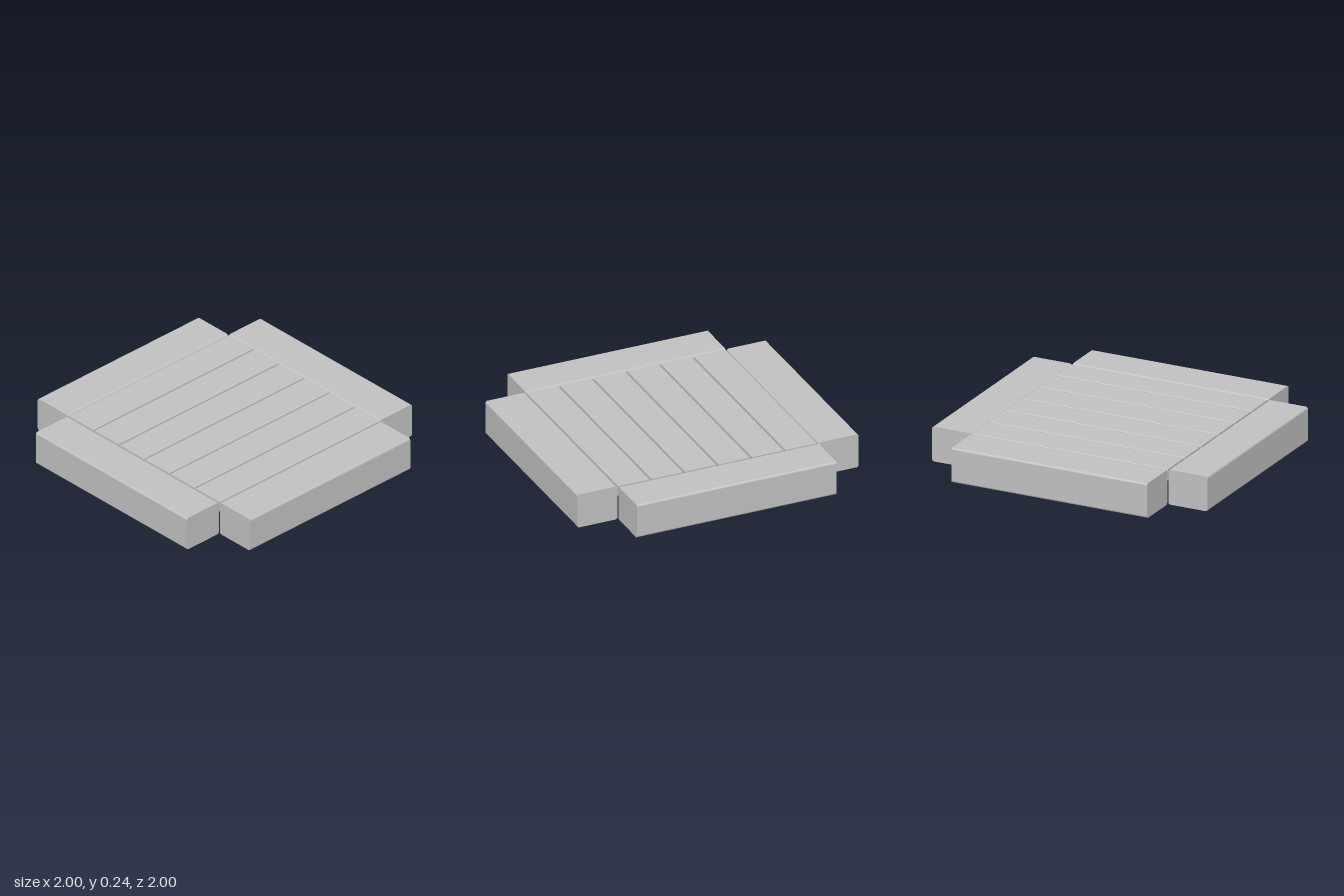
import * as THREE from 'three';

// Plank running along z, with its four long edges eased
function plankGeometry(width, height, length, radius) {
  const x = width / 2, y = height / 2, r = radius;
  const s = new THREE.Shape();
  s.moveTo(-x + r, -y);
  s.lineTo(x - r, -y);
  s.absarc(x - r, -y + r, r, -Math.PI / 2, 0);
  s.lineTo(x, y - r);
  s.absarc(x - r, y - r, r, 0, Math.PI / 2);
  s.lineTo(-x + r, y);
  s.absarc(-x + r, y - r, r, Math.PI / 2, Math.PI);
  s.lineTo(-x, -y + r);
  s.absarc(-x + r, -y + r, r, Math.PI, Math.PI * 1.5);
  const g = new THREE.ExtrudeGeometry(s, { depth: length, bevelEnabled: false, curveSegments: 3 });
  return g.translate(0, 0, -length / 2);
}

export function createModel() {
  const model = new THREE.Group();
  model.name = 'slattedPlatform';
  const grey = new THREE.MeshStandardMaterial({ color: 0xc0c0c0 });
  grey.name = 'light grey';

  const add = (name, geometry, x, y, z) => {
    const mesh = new THREE.Mesh(geometry, grey);
    mesh.name = name;
    mesh.position.set(x, y, z);
    model.add(mesh);
  };

  // Four frame beams, leaving the outer corners open
  const height = 0.24, beamWidth = 0.285, length = 1.42;
  const sideBeam = plankGeometry(beamWidth, height, length, 0.015);
  const endBeam = sideBeam.clone().rotateY(Math.PI / 2);
  const offset = 1 - beamWidth / 2;
  add('leftBeam', sideBeam, offset, height / 2, 0);
  add('rightBeam', sideBeam, -offset, height / 2, 0);
  add('frontBeam', endBeam, 0, height / 2, offset);
  add('backBeam', endBeam, 0, height / 2, -offset);

  // Six deck slats with narrow gaps, flush with the frame top
  const thickness = 0.08, pitch = 0.238;
  const slat = plankGeometry(0.225, thickness, length, 0.008).rotateY(Math.PI / 2);
  for (let i = 0; i < 6; i++) {
    add(`slat${i + 1}`, slat, 0, height - thickness / 2, (i - 2.5) * pitch);
  }
  return model;
}
